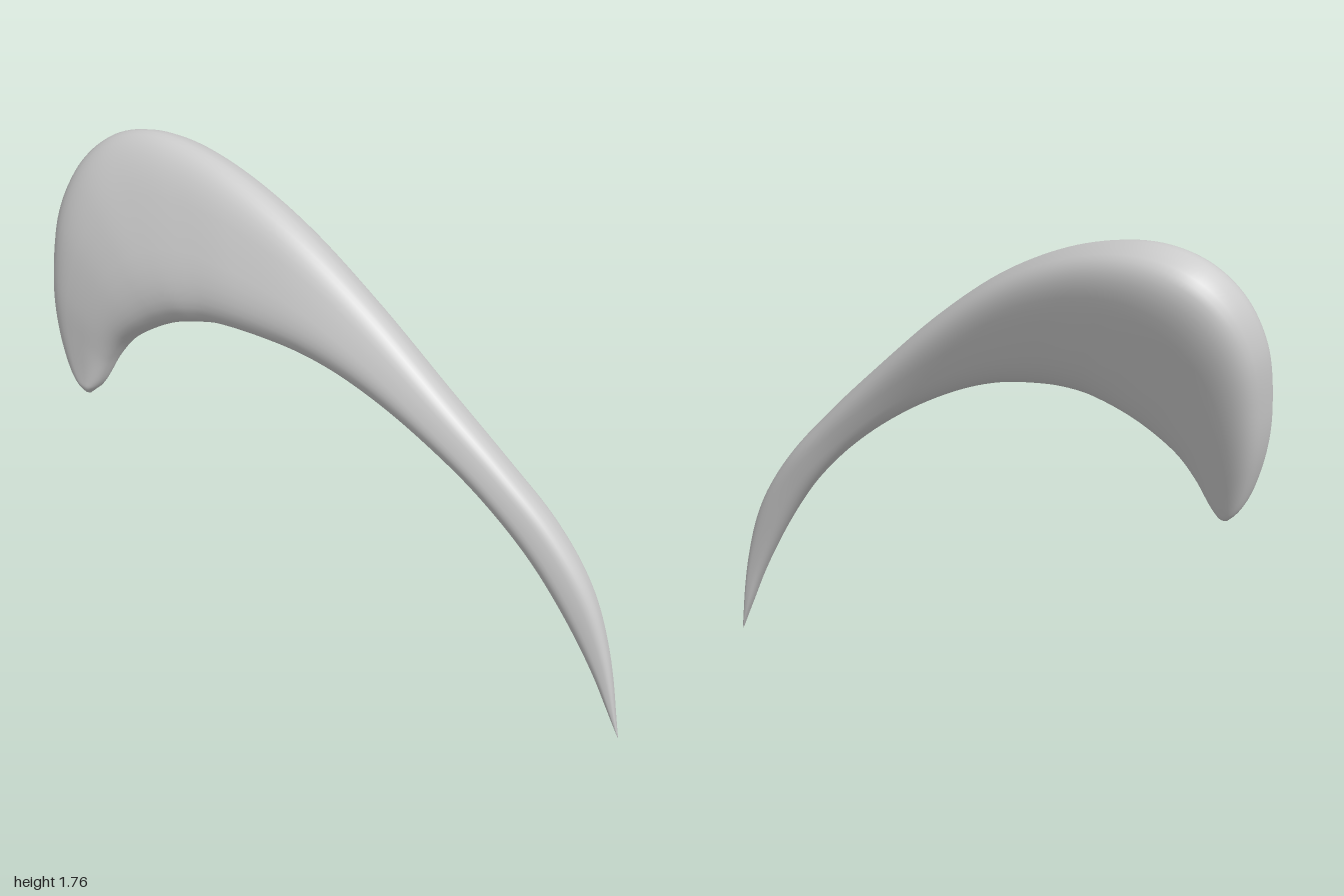
import * as THREE from 'three';

// Stations along the horn: outer edge x,y,z, inner edge x,y,z, half thickness
const STATIONS = [
  [-0.88, 0.84, -0.185, -0.875, 0.84, -0.18, 0.045],
  [-0.935, 0.92, -0.22, -0.83, 0.89, -0.18, 0.062],
  [-0.975, 1.08, -0.28, -0.78, 0.99, -0.17, 0.088],
  [-0.985, 1.25, -0.335, -0.72, 1.07, -0.15, 0.11],
  [-0.965, 1.45, -0.395, -0.63, 1.135, -0.115, 0.127],
  [-0.89, 1.61, -0.43, -0.55, 1.175, -0.08, 0.135],
  [-0.76, 1.715, -0.425, -0.47, 1.2, -0.04, 0.135],
  [-0.58, 1.745, -0.35, -0.38, 1.215, 0.0, 0.13],
  [-0.35, 1.69, -0.21, -0.25, 1.21, 0.06, 0.122],
  [-0.1, 1.56, -0.045, -0.08, 1.18, 0.13, 0.113],
  [0.15, 1.365, 0.11, 0.09, 1.115, 0.2, 0.103],
  [0.4, 1.13, 0.255, 0.28, 1.005, 0.275, 0.094],
  [0.6, 0.93, 0.345, 0.48, 0.85, 0.35, 0.085],
  [0.76, 0.75, 0.405, 0.65, 0.67, 0.405, 0.077],
  [0.88, 0.55, 0.45, 0.78, 0.48, 0.445, 0.066],
  [0.95, 0.32, 0.478, 0.9, 0.25, 0.475, 0.046],
  [1.0, 0.0, 0.495, 0.997, 0.0, 0.495, 0.022],
];

const spline = (pick) => new THREE.CatmullRomCurve3(
  STATIONS.map((s) => new THREE.Vector3(...pick(s))), false, 'catmullrom', 0.5);

// Rounded power keeps the broad faces flat and the edges soft
const soften = (v) => Math.sign(v) * Math.abs(v) ** (2 / 2.9);

// Quarter-circle falloff that rounds both tips
const tipRounding = (t) => {
  const s = Math.min(1, t / 0.04, (1 - t) / 0.04);
  return Math.sqrt(1 - (1 - s) ** 2);
};

function hornGeometry(rings, sides) {
  const outer = spline((s) => [s[0], s[1], s[2]]);
  const inner = spline((s) => [s[3], s[4], s[5]]);
  const thick = spline((s) => [s[6], 0, 0]);
  const middle = (t) => outer.getPoint(t).lerp(inner.getPoint(t), 0.5);
  const positions = [];
  const index = [];

  for (let i = 0; i <= rings; i++) {
    const t = i / rings;
    const centre = middle(t);
    const half = outer.getPoint(t).sub(inner.getPoint(t)).multiplyScalar(0.5 * tipRounding(t));
    const h = thick.getPoint(t).x * tipRounding(t);

    // Thickness direction, perpendicular to the width and the sweep
    const u = THREE.MathUtils.clamp(t, 0.03, 0.97);
    const across = outer.getPoint(u).sub(inner.getPoint(u));
    const along = middle(u + 0.01).sub(middle(u - 0.01));
    const normal = along.cross(across).normalize();

    for (let j = 0; j < sides; j++) {
      const a = (j / sides) * Math.PI * 2;
      const p = centre.clone()
        .addScaledVector(half, soften(Math.cos(a)))
        .addScaledVector(normal, h * soften(Math.sin(a)));
      positions.push(p.x, Math.max(p.y, 0), p.z);
      if (i < rings) {
        const k = (j + 1) % sides;
        const r = i * sides;
        const s = r + sides;
        index.push(r + j, r + k, s + j, r + k, s + k, s + j);
      }
    }
  }

  const geometry = new THREE.BufferGeometry();
  geometry.setAttribute('position', new THREE.Float32BufferAttribute(positions, 3));
  geometry.setIndex(index);
  geometry.computeVertexNormals();
  return geometry;
}

export function createModel() {
  const group = new THREE.Group();
  group.name = 'curvedHorn';
  const horn = new THREE.Mesh(
    hornGeometry(128, 40),
    new THREE.MeshStandardMaterial({ color: 0xcccccc }));
  horn.name = 'horn';
  group.add(horn);
  return group;
}
